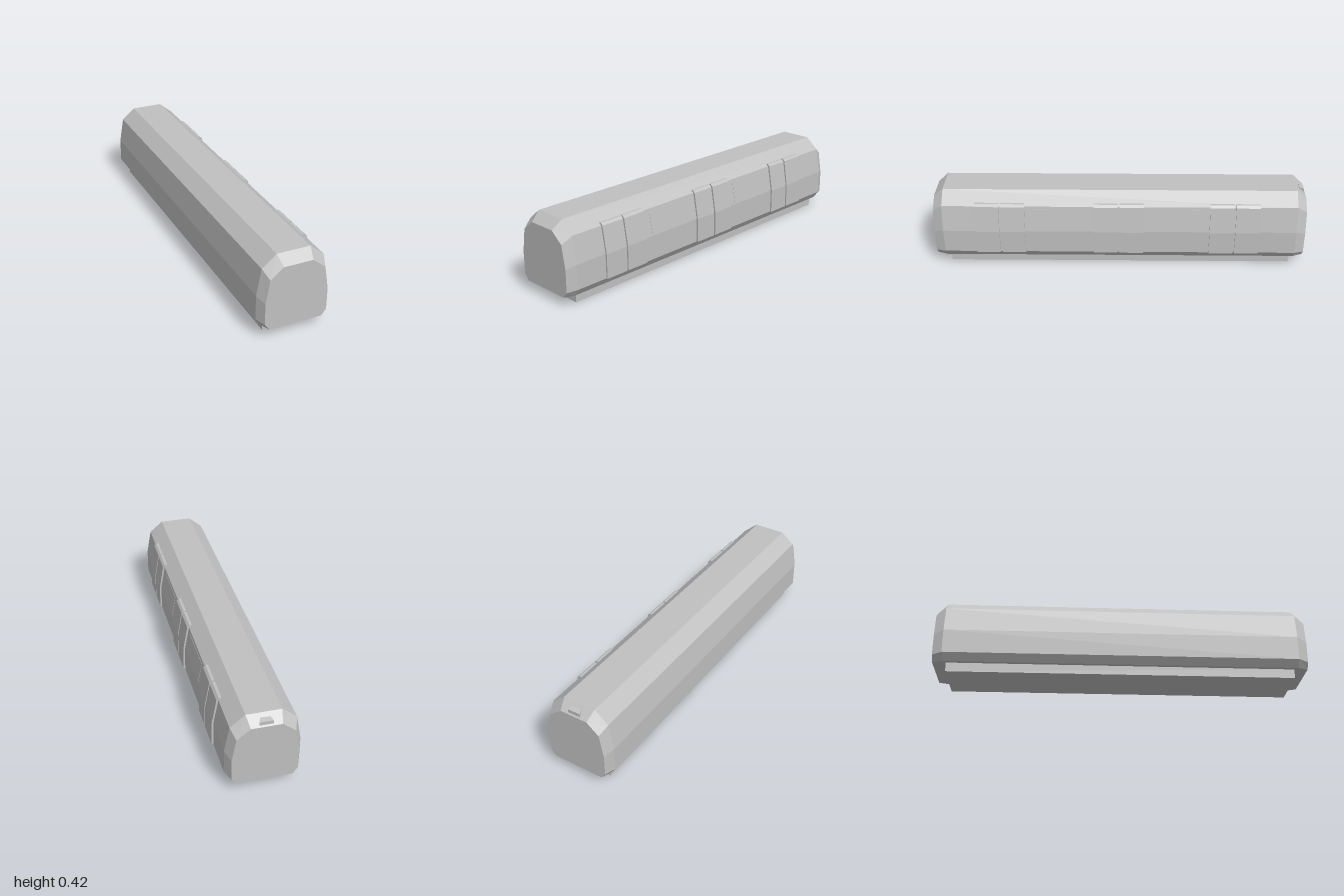
import * as THREE from 'three';

const CX = -0.006; // the hull sits slightly off centre, balanced by the doors

// Full outline from the half widths, counter-clockwise seen from +z
function outline(half) {
  const right = half.map(([x, y]) => [CX + x, y]);
  const left = half.map(([x, y]) => [CX - x, y]).reverse();
  return [...right, ...left];
}

// Flat-shaded skin through equal rings ordered back to front, capped at both ends
function loft(rings) {
  const pos = [];
  const tri = (a, b, c) => pos.push(...a, ...b, ...c);
  const n = rings[0].length;
  for (let r = 0; r < rings.length - 1; r++) {
    for (let i = 0; i < n; i++) {
      const j = (i + 1) % n;
      const a = rings[r][i], b = rings[r][j], c = rings[r + 1][j], d = rings[r + 1][i];
      tri(a, b, c);
      tri(a, c, d);
    }
  }
  const back = rings[0], front = rings[rings.length - 1];
  for (let i = 1; i < n - 1; i++) {
    tri(front[0], front[i], front[i + 1]);
    tri(back[0], back[i + 1], back[i]);
  }
  const geo = new THREE.BufferGeometry();
  geo.setAttribute('position', new THREE.Float32BufferAttribute(pos, 3));
  geo.computeVertexNormals();
  return geo;
}

// Extrudes an x-y outline from z0 to z1
function slab(points, z0, z1) {
  const shape = new THREE.Shape(points.map(([x, y]) => new THREE.Vector2(x, y)));
  const geo = new THREE.ExtrudeGeometry(shape, { depth: z1 - z0, bevelEnabled: false });
  return geo.translate(0, 0, z0);
}

export function createModel() {
  const group = new THREE.Group();
  const grey = new THREE.MeshStandardMaterial({ color: 0xc0c0c0, flatShading: true });
  grey.name = 'plain grey';
  const add = (name, geo) => {
    const mesh = new THREE.Mesh(geo, grey);
    mesh.name = name;
    group.add(mesh);
    return mesh;
  };

  // Carriage hull with chamfered ends
  const middle = outline([[0.159, 0.05], [0.187, 0.09], [0.187, 0.22], [0.162, 0.36], [0.088, 0.422]]);
  const end = outline([[0.139, 0.05], [0.164, 0.083], [0.164, 0.2], [0.143, 0.323], [0.076, 0.377]]);
  const ring = (pts, z) => pts.map(([x, y]) => [x, y, z]);
  add('hull', loft([ring(end, -1), ring(middle, -0.948), ring(middle, 0.948), ring(end, 1)]));

  // Underframe
  add('underframe', new THREE.BoxGeometry(0.278, 0.05, 1.856)).position.set(CX, 0.025, 0);

  // Three pairs of sliding doors on the left side
  const doorOutline = [[0.17, 0.09], [0.19, 0.09], [0.19, 0.22], [0.166, 0.361], [0.154, 0.373], [0.14, 0.373]];
  for (const z of [0.64, 0.005, -0.615]) {
    add('frontDoorLeaf', slab(doorOutline, z + 0.005, z + 0.133));
    add('rearDoorLeaf', slab(doorOutline, z - 0.133, z - 0.005));
  }

  // Nearly flush windows between the doors
  const windowOutline = [[0.178, 0.228], [0.181, 0.228], [0.1605, 0.343], [0.156, 0.343]];
  for (const z of [0.33, -0.3]) add('window', slab(windowOutline, z - 0.13, z + 0.13));

  // Small flared lamp on the rear roof chamfer
  const lampRing = (half, z, y0, y1) => ring([[CX - half, y0], [CX + half, y0], [CX + half, y1], [CX - half, y1]], z);
  add('rearLamp', loft([lampRing(0.034, -0.993, 0.381, 0.402), lampRing(0.025, -0.968, 0.395, 0.408)]));

  return group;
}
